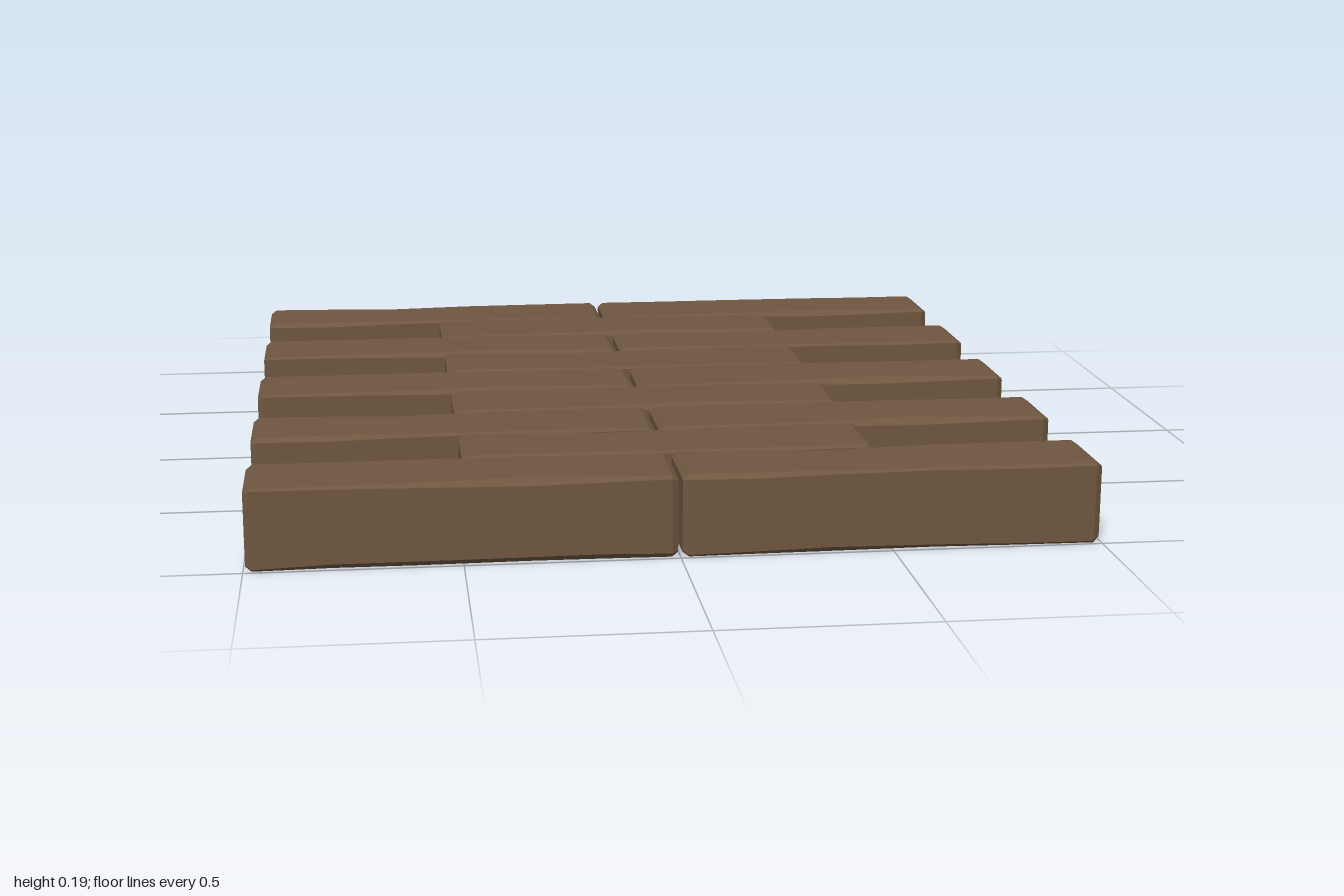
import * as THREE from 'three';

const L = 0.99, H = 0.195, W = 0.218, PITCH = 0.2213;

// stations along a plank: x, end inset, then [drop, depth] of the worn chamfer
// on the top-front, bottom-front, bottom-back and top-back edges
const STATIONS = [
  [-0.5, 0.01, [0.004, 0.004], [0.004, 0.004], [0.004, 0.004], [0.004, 0.004]],
  [-0.485, 0, [0.006, 0.006], [0.005, 0.005], [0.005, 0.005], [0.006, 0.006]],
  [-0.3, 0, [0.006, 0.008], [0.012, 0.012], [0.006, 0.008], [0.008, 0.008]],
  [-0.1, 0, [0.009, 0.012], [0.012, 0.01], [0.01, 0.015], [0.005, 0.006]],
  [0.15, 0, [0.013, 0.035], [0.013, 0.014], [0.012, 0.01], [0.008, 0.008]],
  [0.32, 0, [0.01, 0.016], [0.014, 0.012], [0.008, 0.008], [0.012, 0.014]],
  [0.485, 0, [0.007, 0.007], [0.01, 0.008], [0.005, 0.005], [0.01, 0.012]],
  [0.5, 0.01, [0.004, 0.004], [0.004, 0.004], [0.004, 0.004], [0.004, 0.004]],
];

// eight-cornered cross-sections joined into a plank with worn edges
function plankGeometry() {
  const rings = STATIONS.map(([x, inset, tf, bf, bb, tb]) => {
    const h = H / 2 - inset, w = W / 2 - inset;
    return [
      [h, w - tf[1]], [h - tf[0], w], [-h + bf[0], w], [-h, w - bf[1]],
      [-h, -w + bb[1]], [-h + bb[0], -w], [h - tb[0], -w], [h, -w + tb[1]],
    ].map(([y, z]) => [x * L, y, z]);
  });
  const pos = [];
  const tri = (a, b, c) => pos.push(...a, ...b, ...c);
  for (let i = 0; i < rings.length - 1; i++) {
    for (let j = 0; j < 8; j++) {
      const k = (j + 1) % 8, a = rings[i], b = rings[i + 1];
      tri(a[j], a[k], b[j]);
      tri(b[j], a[k], b[k]);
    }
  }
  // end caps
  const first = rings[0], last = rings[rings.length - 1];
  for (let j = 1; j < 7; j++) {
    tri(last[0], last[j], last[j + 1]);
    tri(first[0], first[j + 1], first[j]);
  }
  const geo = new THREE.BufferGeometry();
  geo.setAttribute('position', new THREE.Float32BufferAttribute(pos, 3));
  geo.computeVertexNormals();
  return geo;
}

export function createModel() {
  const model = new THREE.Group();
  model.name = 'plankFloor';
  const geo = plankGeometry();
  const wood = new THREE.MeshStandardMaterial({ color: 0x6f5741, flatShading: true });

  const addPlank = (name, x, z, turned) => {
    const plank = new THREE.Mesh(geo, wood);
    plank.name = name;
    plank.position.set(x, H / 2, z);
    if (turned) plank.rotation.y = Math.PI;
    model.add(plank);
  };

  // five full rows of two planks, with a single centred plank between each
  for (let row = 0; row < 9; row++) {
    const z = (row - 4) * PITCH;
    if (row % 2 === 0) {
      addPlank('rightPlank', -0.5, z, row === 0 || row === 6);
      addPlank('leftPlank', 0.5, z, row === 2 || row === 8);
    } else {
      addPlank('middlePlank', 0.003, z, row % 4 === 3);
    }
  }
  return model;
}
